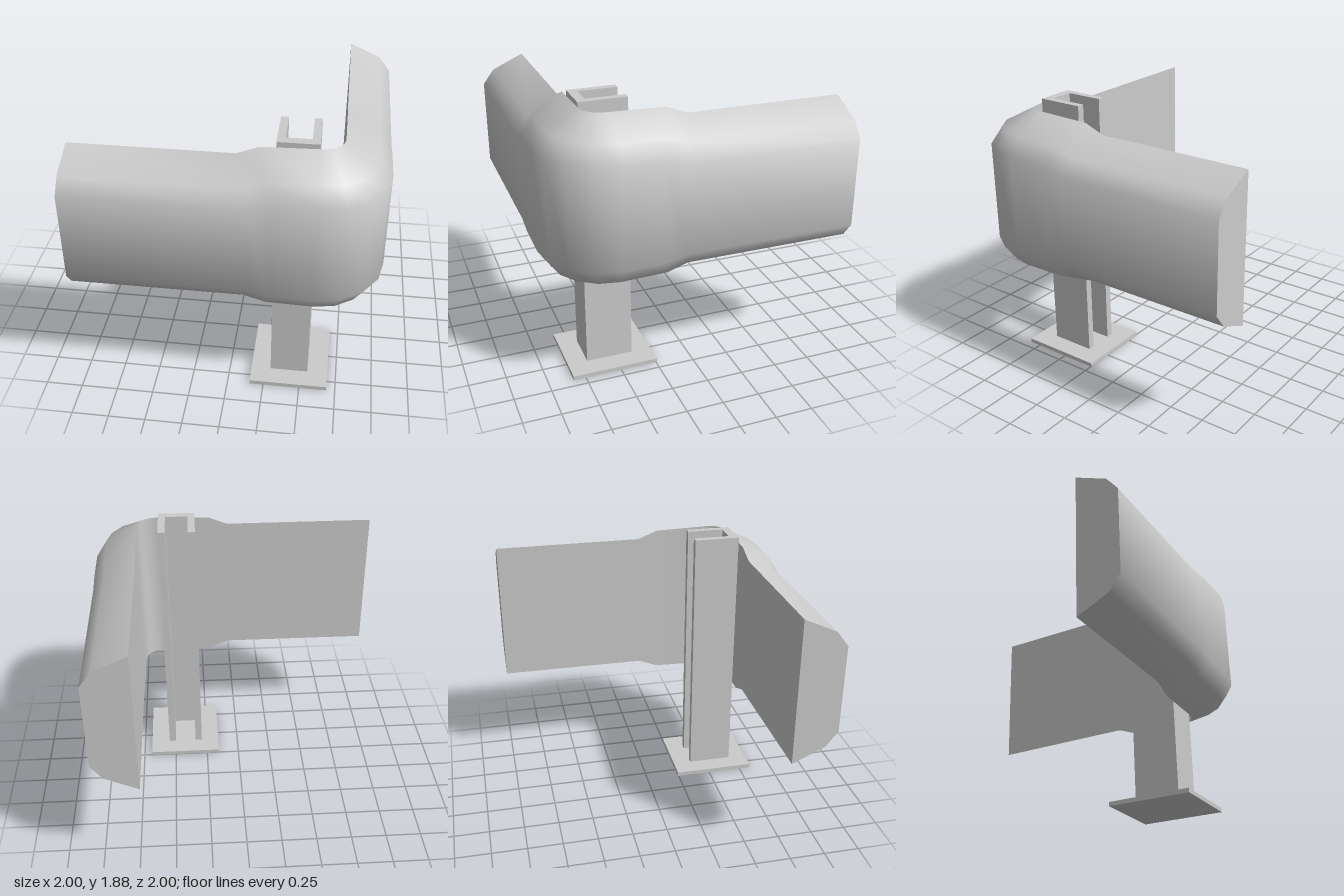
import * as THREE from 'three';
import { toCreasedNormals } from 'three/addons/utils/BufferGeometryUtils.js';

const material = new THREE.MeshStandardMaterial({ color: 0xcccccc });
const MID_Y = 1.28;

// Guard cross-section: [distance out from the back face, fraction of half height]
const PROFILE = [[0, 1], [0.22, 0.8], [0.3, 0.595], [0.3, -0.595], [0.22, -0.8], [0, -1]];

// One ring of the guard; place(d) gives [x, z] at distance d from the back face
const ring = (halfHeight, place) => PROFILE.map(([d, f]) => {
  const [x, z] = place(d);
  return new THREE.Vector3(x, MID_Y + f * halfHeight, z);
});

function guardGeometry() {
  // Straight arm: plain end, then the step up to the taller corner
  const arm = [[-1, 0.505, 0], [0.05, 0.505, 0.33], [0.19, 0.56, 0.33]];
  const rings = arm.map(([x, h, shear]) => ring(h, d => [x + shear * d, 0.7 + d]));

  // Rounded corner
  const steps = 4;
  for (let i = 0; i <= steps; i++) {
    const a = (i / steps) * Math.PI / 2;
    rings.push(ring(0.57, d => [0.57 + (0.13 + d) * Math.sin(a), 0.57 + (0.13 + d) * Math.cos(a)]));
  }

  // Second arm mirrors the first across the diagonal
  for (const [x, h, shear] of [...arm].reverse()) {
    rings.push(ring(h, d => [0.7 + d, x + shear * d]));
  }

  const points = [];
  const n = PROFILE.length;
  for (let r = 0; r < rings.length - 1; r++) {
    const p = rings[r], q = rings[r + 1];
    for (let i = 0; i < n; i++) {
      const j = (i + 1) % n;
      points.push(p[i], p[j], q[j], p[i], q[j], q[i]);
    }
  }
  // End caps
  const first = rings[0], last = rings[rings.length - 1];
  for (let i = 1; i < n - 1; i++) {
    points.push(first[0], first[i + 1], first[i], last[0], last[i], last[i + 1]);
  }
  return toCreasedNormals(new THREE.BufferGeometry().setFromPoints(points), 0.85);
}

// Channel post, open towards the back
function postGeometry() {
  const shape = new THREE.Shape([
    [0.29, 0.7], [0.55, 0.7], [0.55, 0.38], [0.5, 0.38],
    [0.5, 0.64], [0.34, 0.64], [0.34, 0.38], [0.29, 0.38],
  ].map(([x, z]) => new THREE.Vector2(x, -z)));
  return new THREE.ExtrudeGeometry(shape, { depth: 1.85, bevelEnabled: false })
    .rotateX(-Math.PI / 2)
    .translate(0, 0.03, 0);
}

export function createModel() {
  const group = new THREE.Group();
  group.name = 'cornerGuardRail';
  const add = (name, geometry) => {
    const mesh = new THREE.Mesh(geometry, material);
    mesh.name = name;
    group.add(mesh);
  };
  add('cornerGuard', guardGeometry());
  add('channelPost', postGeometry());
  add('basePlate', new THREE.BoxGeometry(0.535, 0.03, 0.59).translate(0.4225, 0.015, 0.54));
  return group;
}
